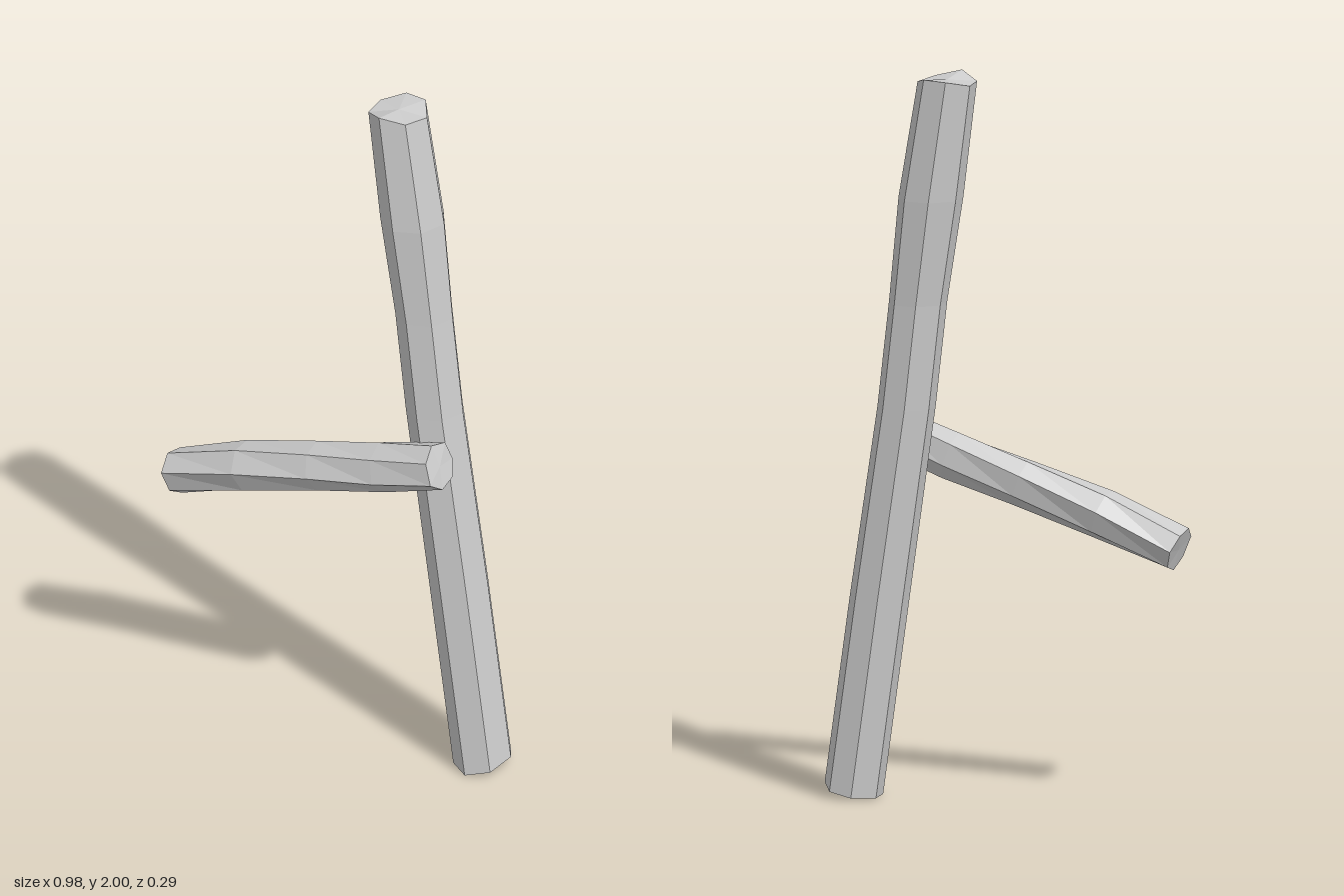
import * as THREE from 'three';

const material = new THREE.MeshStandardMaterial({ color: 0xcccccc, flatShading: true });

// Rough-hewn log: a seven-sided section [u, v] swept along rings [x, y, z, scale, twist].
// startTrim / endTrim shift the rim corners along the log for uneven cut ends.
function makeLog(name, section, rings, u, v, startTrim, endTrim) {
  const n = section.length;
  const first = new THREE.Vector3(...rings[0]);
  const last = new THREE.Vector3(...rings[rings.length - 1]);
  const axis = last.clone().sub(first).normalize();

  const loops = rings.map(([x, y, z, scale, twist], i) => section.map(([a, b], j) => {
    const c = Math.cos(twist) * scale, s = Math.sin(twist) * scale;
    const trim = i === 0 ? startTrim[j] : i === rings.length - 1 ? endTrim[j] : 0;
    return new THREE.Vector3(x, y, z)
      .addScaledVector(u, a * c - b * s)
      .addScaledVector(v, a * s + b * c)
      .addScaledVector(axis, trim);
  }));

  const points = [];
  const middle = (loop) => loop.reduce((m, p) => m.addScaledVector(p, 1 / n), new THREE.Vector3());
  const startMid = middle(loops[0]);
  const endMid = middle(loops[loops.length - 1]);
  for (let j = 0; j < n; j++) {
    const k = (j + 1) % n;
    // bark faces
    for (let i = 0; i < loops.length - 1; i++) {
      const lo = loops[i], hi = loops[i + 1];
      points.push(lo[j], hi[j], lo[k], lo[k], hi[j], hi[k]);
    }
    // cut ends
    const top = loops[loops.length - 1];
    points.push(startMid, loops[0][j], loops[0][k], endMid, top[k], top[j]);
  }

  const geometry = new THREE.BufferGeometry().setFromPoints(points);
  geometry.computeVertexNormals();
  const mesh = new THREE.Mesh(geometry, material);
  mesh.name = name;
  return mesh;
}

export function createModel() {
  const group = new THREE.Group();
  group.name = 'crossedLogs';

  // tall leaning post
  group.add(makeLog(
    'post',
    [[0.08, -0.02], [0.055, 0.05], [-0.01, 0.078], [-0.07, 0.04], [-0.075, -0.03], [-0.02, -0.078], [0.045, -0.073]],
    [
      [0.41, 0.01, -0.06, 1, 0],
      [0.335, 0.55, -0.06, 1, 0],
      [0.258, 1.08, -0.06, 0.97, 0],
      [0.225, 1.37, -0.06, 0.97, 0],
      [0.188, 1.66, -0.06, 1.08, 0],
      [0.14, 1.985, -0.062, 0.99, 0],
    ],
    new THREE.Vector3(1, 0, 0), new THREE.Vector3(0, 0, 1),
    [0.025, 0.005, -0.01, -0.01, -0.008, -0.003, 0.01],
    [-0.005, 0, 0.015, -0.005, -0.005, 0.01, 0.012],
  ));

  // short crossbar resting against the front of the post, slightly twisted
  const up = new THREE.Vector3(-0.33, 0.944, 0);
  group.add(makeLog(
    'crossbar',
    [[0.06, 0], [0.045, -0.05], [-0.01, -0.065], [-0.055, -0.04], [-0.065, 0.015], [-0.03, 0.063], [0.03, 0.05]],
    [
      [-0.473, 0.716, 0.08, 1, -0.75],
      [-0.255, 0.8, 0.073, 1.1, -0.55],
      [-0.03, 0.872, 0.066, 1.06, -0.35],
      [0.17, 0.932, 0.06, 1.08, -0.15],
      [0.345, 0.99, 0.06, 1, 0],
    ],
    up, new THREE.Vector3(0, 0, 1),
    [0, 0.005, 0.005, 0, 0, 0, 0],
    [-0.003, 0.004, 0, 0, 0, 0.003, 0],
  ));

  return group;
}
